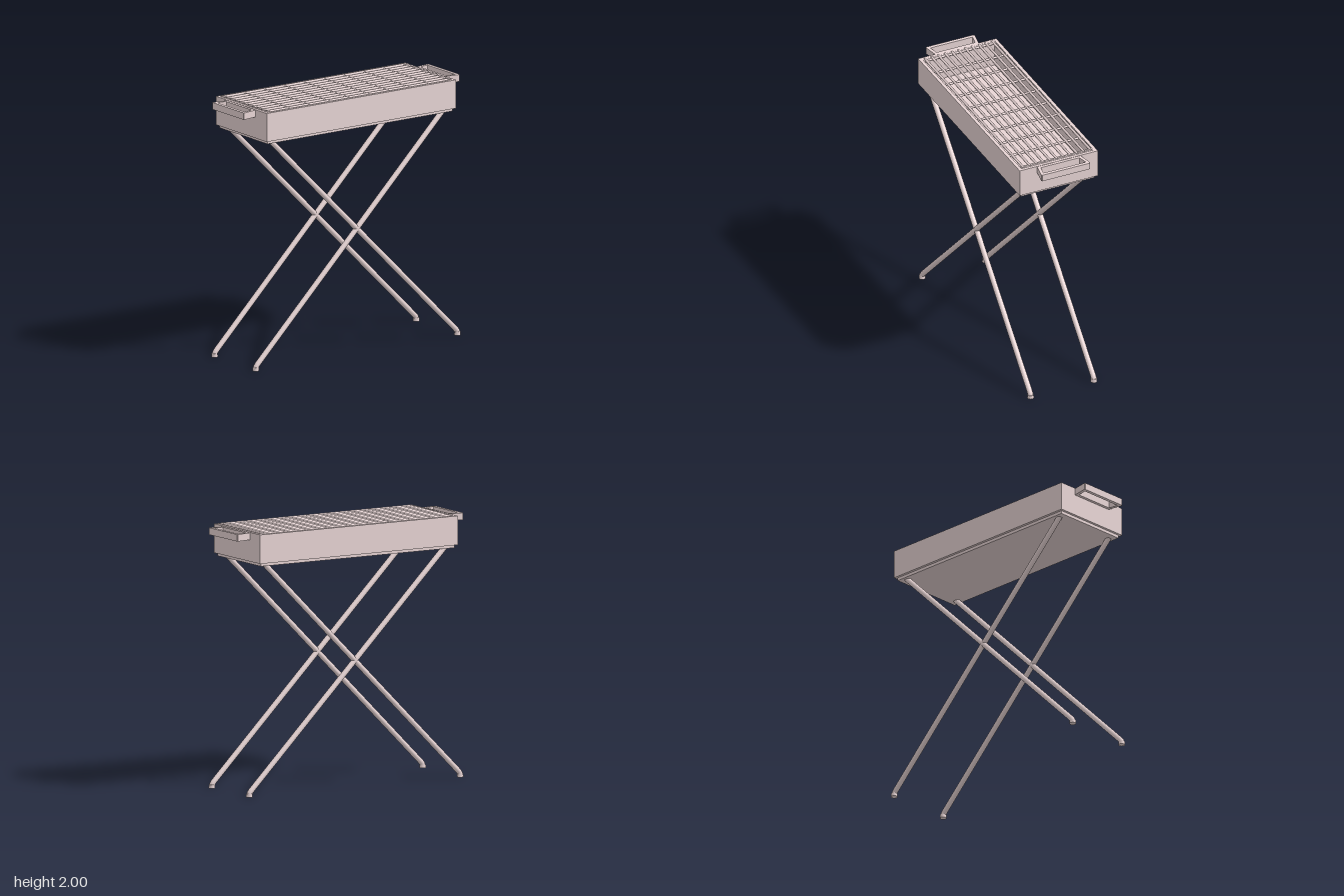
import * as THREE from 'three';

const metal = new THREE.MeshStandardMaterial({ color: 0xe8d5d5 });

export function createModel() {
  const grill = new THREE.Group();
  grill.name = 'charcoalGrill';

  function add(name, geometry, x = 0, y = 0, z = 0, parent = grill) {
    const mesh = new THREE.Mesh(geometry, metal);
    mesh.name = name;
    mesh.position.set(x, y, z);
    parent.add(mesh);
    return mesh;
  }

  // Flat ring in the x/z plane, extruded upward
  function slab(outline, hole, height) {
    const shape = new THREE.Shape(outline.map(p => new THREE.Vector2(...p)));
    shape.holes.push(new THREE.Path(hole.map(p => new THREE.Vector2(...p))));
    return new THREE.ExtrudeGeometry(shape, { depth: height, bevelEnabled: false }).rotateX(-Math.PI / 2);
  }
  const rect = (w, d) => [[-w, -d], [w, -d], [w, d], [-w, d]];

  // Open fire box with its stepped base plate
  add('fireBoxWalls', slab(rect(0.875, 0.325), rect(0.85, 0.3), 0.22), 0, 1.77, 0);
  add('basePlate', new THREE.BoxGeometry(1.71, 0.03, 0.61), 0, 1.762, 0);

  // Cooking grate: long rods resting on cross rods
  const grate = new THREE.Group();
  grate.name = 'grate';
  grill.add(grate);
  const longRod = new THREE.CylinderGeometry(0.01, 0.01, 1.7, 10).rotateZ(Math.PI / 2);
  const crossRod = new THREE.CylinderGeometry(0.009, 0.009, 0.6, 10).rotateX(Math.PI / 2);
  for (let i = -5; i <= 5; i++) add('longRod', longRod, 0, 1.99, i * 0.056, grate);
  for (let i = 0; i < 10; i++) add('crossRod', crossRod, -0.828 + i * 0.184, 1.985, 0, grate);
  for (const s of [-1, 1]) add('endRod', crossRod, s * 0.845, 1.985, 0, grate);

  // Carrying handles: flared loops with a mounting strip
  const handleGeometry = slab(
    [[0.87, -0.18], [0.985, -0.202], [0.995, -0.202], [1, -0.197],
      [1, 0.197], [0.995, 0.202], [0.985, 0.202], [0.87, 0.18]],
    [[0.898, -0.16], [0.898, 0.16], [0.973, 0.176], [0.973, -0.176]],
    0.053
  );
  for (const s of [0, 1]) {
    add('handle', handleGeometry, 0, 1.934, 0).rotation.y = s * Math.PI;
  }

  // Crossed legs, each bent upright at the foot
  for (const z of [-0.263, 0.263]) {
    for (const s of [-1, 1]) {
      const path = new THREE.CurvePath();
      const v = (x, y) => new THREE.Vector3(s * x, y, 0);
      path.add(new THREE.LineCurve3(v(0.932, 0.002), v(0.932, 0.02)));
      path.add(new THREE.QuadraticBezierCurve3(v(0.932, 0.02), v(0.932, 0.032), v(0.912, 0.052)));
      path.add(new THREE.LineCurve3(v(0.912, 0.052), v(-0.8, 1.757)));
      add('leg', new THREE.TubeGeometry(path, 160, 0.021, 12), 0, 0, z);
      add('footCap', new THREE.CylinderGeometry(0.023, 0.025, 0.028, 16), s * 0.932, 0.014, z);
    }
  }
  return grill;
}
